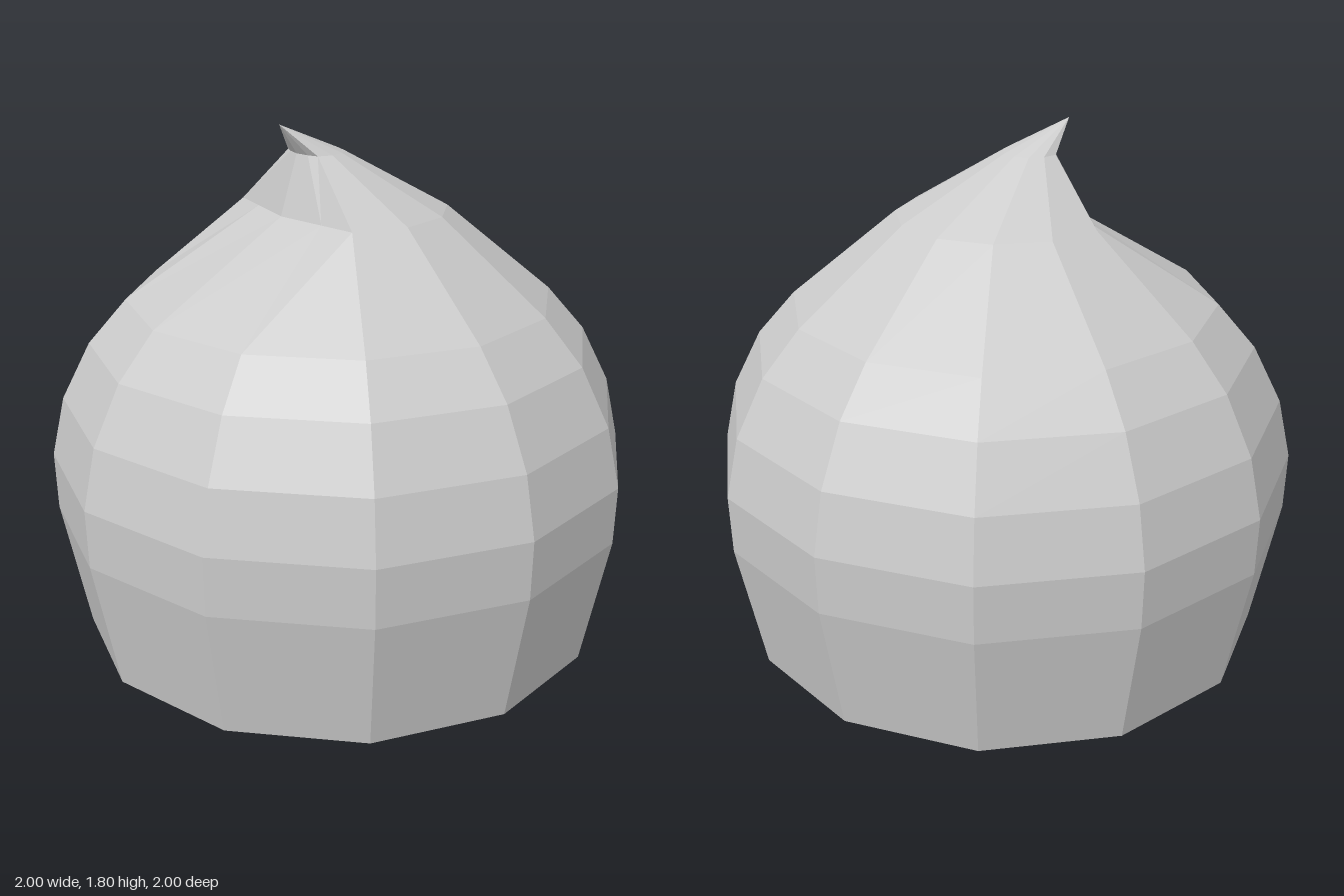
import * as THREE from 'three';

const SIDES = 12;

// Rings from base to tip: height, radius, sideways shift, and how far the left side is pinched in
const RINGS = [
  { y: 0, r: 0.9 },
  { y: 0.45, r: 0.993 },
  { y: 0.65, r: 1 },
  { y: 0.855, r: 0.955 },
  { y: 1.05, r: 0.857 },
  { y: 1.2, r: 0.727 },
  { y: 1.5, r: 0.365, pinch: 0.65 },
  { y: 1.7, r: 0.098, shift: -0.1, pinch: 0.75 },
];
const TIP = [-0.24, 1.8, 0];

function swirlGeometry() {
  const positions = [];
  const index = [];
  for (const { y, r, shift = 0, pinch = 1 } of RINGS) {
    for (let i = 0; i < SIDES; i++) {
      const a = (i / SIDES) * Math.PI * 2;
      // only the three leftmost corners fold inward under the curled tip
      const squeeze = Math.cos(a) < -0.6 ? pinch : 1;
      positions.push(shift + r * Math.cos(a) * squeeze, y, r * Math.sin(a));
    }
  }
  const tip = positions.length / 3;
  positions.push(...TIP, 0, 0, 0);
  const base = tip + 1;
  const top = (RINGS.length - 1) * SIDES;

  for (let i = 0; i < SIDES; i++) {
    const n = (i + 1) % SIDES;
    // side bands
    for (let j = 0; j < RINGS.length - 1; j++) {
      const k = j * SIDES;
      const u = k + SIDES;
      index.push(k + i, u + i, k + n, u + i, u + n, k + n);
    }
    // curled tip and flat underside
    index.push(top + i, tip, top + n);
    index.push(base, i, n);
  }
  const indexed = new THREE.BufferGeometry();
  indexed.setAttribute('position', new THREE.Float32BufferAttribute(positions, 3));
  indexed.setIndex(index);
  const geometry = indexed.toNonIndexed();
  geometry.computeVertexNormals();
  return geometry;
}

export function createModel() {
  const group = new THREE.Group();
  group.name = 'creamDollop';
  const material = new THREE.MeshStandardMaterial({ color: 0xcccccc, flatShading: true });
  const dollop = new THREE.Mesh(swirlGeometry(), material);
  dollop.name = 'dollopWithCurledTip';
  group.add(dollop);
  return group;
}
